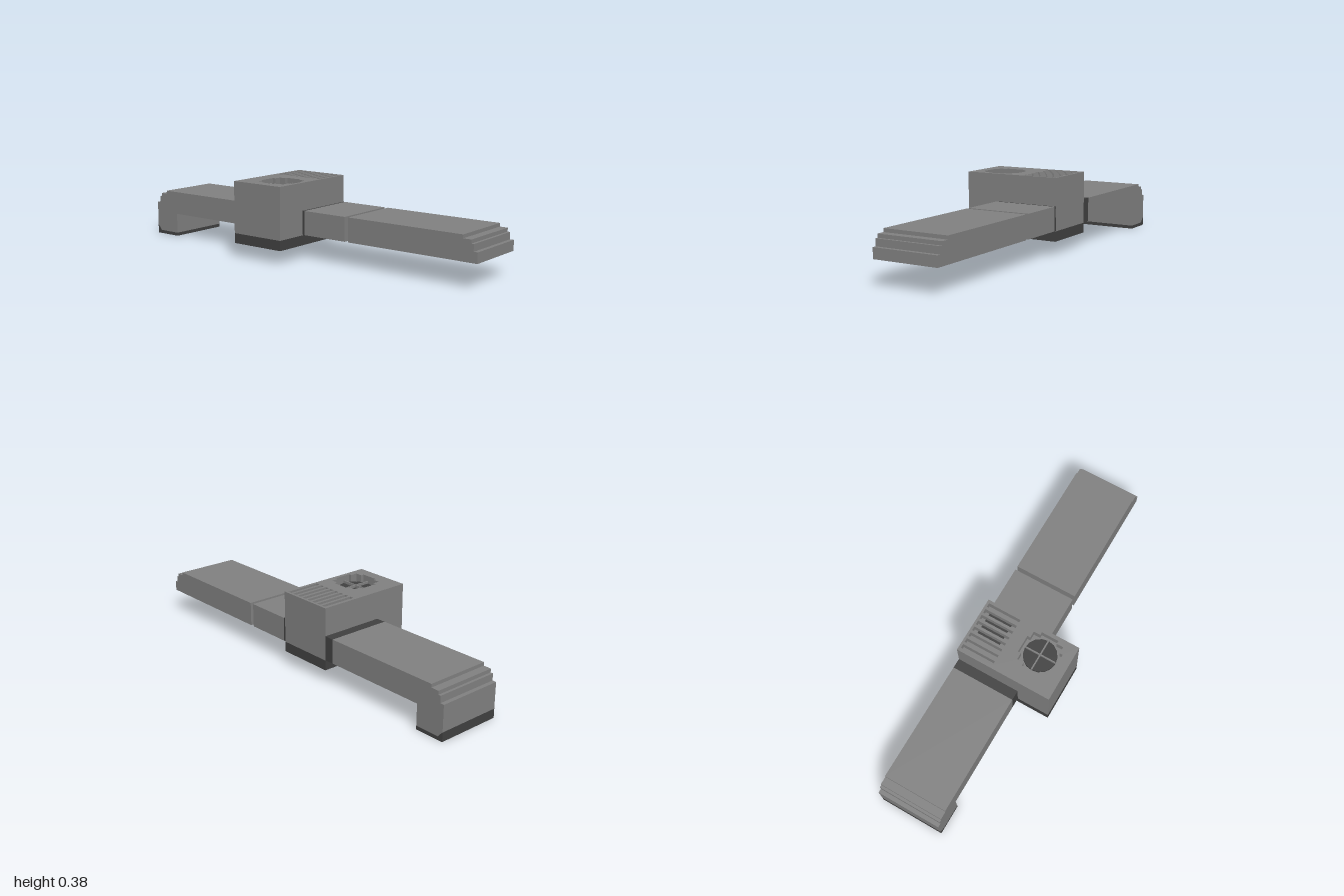
import * as THREE from 'three';

const Z0 = -0.25, Z1 = 0.08; // depth range of the duct

export function createModel() {
  const grey = new THREE.MeshStandardMaterial({ color: 0x808080 });
  grey.name = 'grey casing';
  const dark = new THREE.MeshStandardMaterial({ color: 0x404040 });
  dark.name = 'dark trim';

  const model = new THREE.Group();
  model.name = 'ductUnit';

  const add = (name, geometry, material) => {
    const mesh = new THREE.Mesh(geometry, material);
    mesh.name = name;
    model.add(mesh);
    return mesh;
  };
  // Box given by its minimum and maximum corners
  const box = (name, x0, x1, y0, y1, z0, z1, material) => {
    const mesh = add(name, new THREE.BoxGeometry(x1 - x0, y1 - y0, z1 - z0), material);
    mesh.position.set((x0 + x1) / 2, (y0 + y1) / 2, (z0 + z1) / 2);
  };
  const outline = (points) => new THREE.Shape(points.map(([x, y]) => new THREE.Vector2(x, y)));
  // Side profile swept through the depth of the duct
  const sweep = (name, points, material) => {
    const geometry = new THREE.ExtrudeGeometry(outline(points), { depth: Z1 - Z0, bevelEnabled: false });
    add(name, geometry, material).position.z = Z0;
  };

  // Stepped shoulder shared by both duct ends
  const steps = [[1, 0.173], [0.98, 0.173], [0.98, 0.207], [0.967, 0.207],
    [0.967, 0.225], [0.927, 0.225], [0.927, 0.242]];

  // Right-hand duct pieces, with an open gap between them
  sweep('outerDuct', [[0.31, 0.122], [1, 0.122], ...steps, [0.31, 0.242]], grey);
  box('innerDuct', 0.045, 0.29, 0.122, 0.242, Z0, Z1, grey);

  // Long duct with a downturned outlet
  const mirrored = steps.map(([x, y]) => [-x, y]).reverse();
  sweep('outletDuct', [[-1, 0.045], [-0.985, 0.03], [-0.975, 0.017], [-0.85, 0.017],
    [-0.85, 0.122], [-0.31, 0.122], [-0.31, 0.242], ...mirrored], grey);
  sweep('outletTrim', [[-1, 0], [-0.85, 0], [-0.85, 0.017], [-0.975, 0.017],
    [-0.985, 0.03], [-1, 0.045]], dark);

  // Dark collars where the ducts meet the housing
  box('leftCollar', 0.03, 0.045, 0.122, 0.242, Z0, Z1, dark);
  box('rightCollar', -0.31, -0.26, 0.122, 0.242, Z0, Z1, dark);

  // Housing
  const bx0 = -0.26, bx1 = 0.035, lidBase = 0.34, lidTop = 0.38;
  box('housingBase', bx0, bx1, 0.07, 0.12, -0.25, 0.25, dark);
  box('housingBody', bx0, bx1, 0.12, lidBase, -0.25, 0.25, grey);

  // Lid with vent slots and a stepped fan opening (shape y becomes -z)
  const lid = outline([[bx0, -0.25], [bx1, -0.25], [bx1, 0.25], [bx0, 0.25]]);
  for (let i = 0; i < 8; i++) {
    const x = -0.243 + i * 0.0345;
    lid.holes.push(outline([[x, 0.063], [x, 0.238], [x + 0.021, 0.238], [x + 0.021, 0.063]]));
  }
  const fanX = -0.08, fanZ = 0.102;
  const corner = [[0.096, 0.045], [0.08, 0.045], [0.08, 0.08], [0.045, 0.08], [0.045, 0.096]];
  const ring = [];
  for (let q = 0; q < 4; q++) {
    const c = Math.round(Math.cos(q * Math.PI / 2)), s = Math.round(Math.sin(q * Math.PI / 2));
    for (const [x, y] of corner) ring.push([x * c - y * s, x * s + y * c]);
  }
  lid.holes.push(outline(ring.map(([x, y]) => [x + fanX, y - fanZ])));
  const lidGeometry = new THREE.ExtrudeGeometry(lid, { depth: lidTop - lidBase, bevelEnabled: false });
  lidGeometry.rotateX(-Math.PI / 2);
  add('housingLid', lidGeometry, grey).position.y = lidBase;

  // Dark filter seen through the middle slots
  box('ventFilter', -0.147, -0.013, lidBase, lidBase + 0.008, -0.216, -0.094, dark);

  // Fan disc with a thin crossed guard
  const disc = add('fanDisc', new THREE.CylinderGeometry(0.083, 0.083, 0.009, 16), dark);
  disc.position.set(fanX, lidBase + 0.0045, fanZ);
  box('guardBarAcross', fanX - 0.083, fanX + 0.083, lidBase, 0.362, fanZ - 0.003, fanZ + 0.003, grey);
  box('guardBarAlong', fanX - 0.003, fanX + 0.003, lidBase, 0.361, fanZ - 0.083, fanZ + 0.083, grey);

  return model;
}
